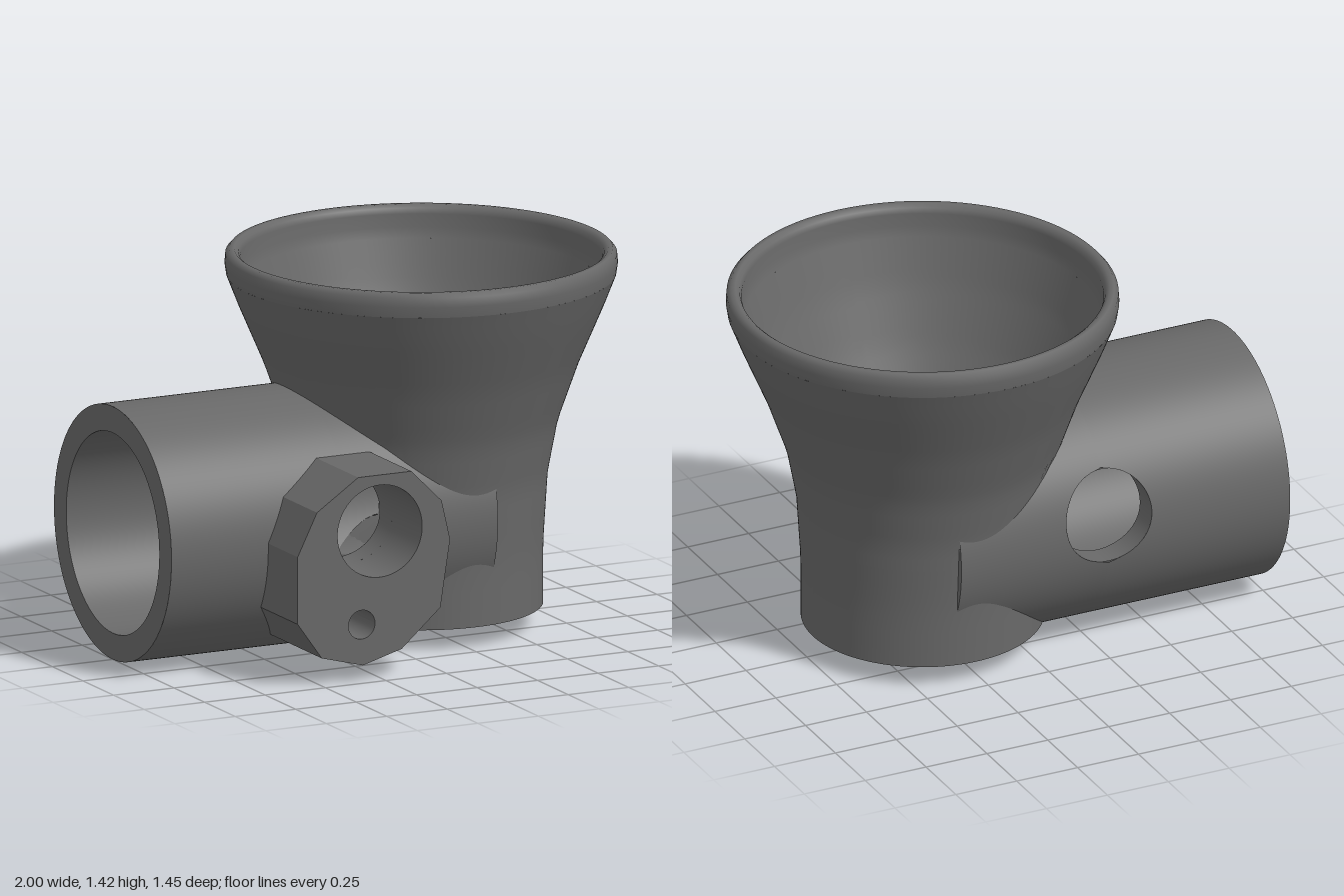
import * as THREE from 'three';

const AX = 0.275;            // funnel axis x
const TY = 0.48;             // tube axis height
const RO = 0.48, RI = 0.38;  // tube radii
const HX = -0.26, HY = 0.562, HR = 0.175; // cross hole

const OUTER = [[0.08, 0.45], [0.31, 0.45], [0.58, 0.467], [0.78, 0.505], [1.0, 0.583], [1.22, 0.677], [1.33, 0.72]];
const INNER = [[0.08, 0.35], [0.31, 0.35], [0.5, 0.363], [0.7, 0.41], [0.92, 0.515], [1.13, 0.6], [1.3, 0.655]];

// radius at height y along a profile
function radius(profile, y) {
  if (y <= profile[0][0]) return profile[0][1];
  for (let i = 1; i < profile.length; i++) {
    const [y0, r0] = profile[i - 1], [y1, r1] = profile[i];
    if (y <= y1) return r0 + (r1 - r0) * (y - y0) / (y1 - y0);
  }
  return profile[profile.length - 1][1];
}

// grid surface from fn(u, v) -> [x, y, z]
function surface(fn, nu, nv, flip = false) {
  const pos = [], idx = [];
  for (let i = 0; i <= nu; i++)
    for (let j = 0; j <= nv; j++) pos.push(...fn(i / nu, j / nv));
  for (let i = 0; i < nu; i++)
    for (let j = 0; j < nv; j++) {
      const a = i * (nv + 1) + j, b = a + 1, c = a + nv + 1, d = c + 1;
      idx.push(...(flip ? [a, b, c, b, d, c] : [a, c, b, b, c, d]));
    }
  const g = new THREE.BufferGeometry();
  g.setAttribute('position', new THREE.Float32BufferAttribute(pos, 3));
  g.setIndex(idx);
  g.computeVertexNormals();
  return g;
}

// where the tube wall stops against the funnel bore
function tubeEnd(y, z) {
  const r = radius(INNER, y);
  return Math.abs(z) < r ? AX - Math.sqrt(r * r - z * z) : 0.35;
}

export function createModel() {
  const model = new THREE.Group();
  const grey = new THREE.MeshStandardMaterial({ color: 0x686868, side: THREE.DoubleSide });
  grey.name = 'dark grey';
  const add = (parent, name, geo) => {
    const m = new THREE.Mesh(geo, grey);
    m.name = name;
    parent.add(m);
    return m;
  };
  const group = (name) => {
    const g = new THREE.Group();
    g.name = name;
    model.add(g);
    return g;
  };

  // horizontal tube, each wall split around the cross hole
  const tube = group('tube');
  const tubePoint = (r, u) => {
    const a = u * Math.PI * 2;
    return [TY + r * Math.cos(a), r * Math.sin(a)];
  };
  for (const [r, label, flip] of [[RO, 'tubeOuter', false], [RI, 'tubeInner', true]]) {
    const span = (u) => {
      const [y, z] = tubePoint(r, u);
      const w = Math.sqrt(Math.max(0, HR * HR - (y - HY) ** 2));
      const end = tubeEnd(y, z);
      return { y, z, end, h0: Math.min(HX - w, end), h1: Math.min(HX + w, end) };
    };
    add(tube, label + 'Far', surface((u, v) => {
      const s = span(u);
      return [-1 + (s.h0 + 1) * v, s.y, s.z];
    }, 240, 2, !flip));
    add(tube, label + 'Near', surface((u, v) => {
      const s = span(u);
      return [s.h1 + (s.end - s.h1) * v, s.y, s.z];
    }, 240, 2, !flip));
  }
  add(tube, 'tubeInnerEdge', surface((u, v) => {
    const [y, z] = tubePoint(RO + (RI - RO) * v, u);
    const [yo, zo] = tubePoint(RO, u), [yi, zi] = tubePoint(RI, u);
    const x0 = tubeEnd(yo, zo), x1 = tubeEnd(yi, zi);
    return [x0 + (x1 - x0) * v, y, z];
  }, 240, 1, true));
  const rim = add(tube, 'tubeRim', new THREE.RingGeometry(RI, RO, 96));
  rim.rotation.y = -Math.PI / 2;
  rim.position.set(-1, TY, 0);
  for (const side of [1, -1]) {
    add(tube, 'crossHoleWall', surface((u, v) => {
      const a = u * Math.PI * 2;
      const y = HY + HR * Math.sin(a);
      const r = RI + (RO - RI) * v;
      return [HX + HR * Math.cos(a), y, side * Math.sqrt(r * r - (y - TY) ** 2)];
    }, 64, 1, side < 0));
  }

  // funnel walls, opened where the tube bore enters
  const funnel = group('funnel');
  for (const [profile, top, label, flip] of [[OUTER, 1.33, 'funnelOuter', false], [INNER, 1.3, 'funnelInner', true]]) {
    const edge = (a, step) => {
      const inside = (y) => Math.cos(a) < 0
        && Math.hypot(y - TY, radius(profile, y) * Math.sin(a)) < RI;
      let y = TY;
      while (inside(y)) y += step;
      return y;
    };
    const wall = (from, to) => (u, v) => {
      const a = u * Math.PI * 2;
      const y0 = from(a), y = y0 + (to(a) - y0) * v;
      const r = radius(profile, y);
      return [AX + r * Math.cos(a), y, r * Math.sin(a)];
    };
    add(funnel, label + 'Lower', surface(wall(() => 0.08, (a) => edge(a, -0.003)), 160, 6, !flip));
    add(funnel, label + 'Upper', surface(wall((a) => edge(a, 0.003), () => top), 160, 18, !flip));
  }
  const lip = [[0.72, 1.33], [0.726, 1.37], [0.723, 1.405], [0.708, 1.422], [0.69, 1.422],
    [0.675, 1.41], [0.668, 1.39], [0.668, 1.34], [0.655, 1.3]];
  add(funnel, 'funnelLip', new THREE.LatheGeometry(lip.map((p) => new THREE.Vector2(...p)), 96)).position.x = AX;
  const base = add(funnel, 'funnelBase', new THREE.RingGeometry(0.35, 0.45, 96));
  base.rotation.x = Math.PI / 2;
  base.position.set(AX, 0.08, 0);

  // tongue left across the bottom of the bore
  add(model, 'floorTongue', new THREE.BoxGeometry(0.43, 0.035, 0.49)).position.set(0.135, 0.105, 0);

  // faceted boss on the front of the tube
  const boss = group('boss');
  const outline = [[-0.35, 0.775], [-0.13, 0.775], [-0.005, 0.65], [0.03, 0.5], [-0.01, 0.245], [-0.17, 0.105],
    [-0.33, 0.06], [-0.5, 0.105], [-0.6, 0.245], [-0.6, 0.5], [-0.52, 0.66]].map((p) => new THREE.Vector2(...p));
  const circle = (x, y, r, n) => Array.from({ length: n }, (_, i) => {
    const a = i / n * Math.PI * 2;
    return new THREE.Vector2(x + r * Math.cos(a), y + r * Math.sin(a));
  });
  const holes = [circle(HX, HY, HR, 64), circle(-0.335, 0.215, 0.055, 32)];
  const face = new THREE.Shape(outline);
  holes.forEach((h) => face.holes.push(new THREE.Path(h)));
  add(boss, 'bossFace', new THREE.ShapeGeometry(face)).position.z = 0.72;
  const sides = (pts, flip) => surface((u, v) => {
    const p = pts[Math.round(u * pts.length) % pts.length];
    const back = Math.sqrt(0.47 ** 2 - (p.y - TY) ** 2);
    return [p.x, p.y, 0.72 + (back - 0.72) * v];
  }, pts.length, 1, flip);
  const flat = sides(outline, true).toNonIndexed();
  flat.computeVertexNormals();
  add(boss, 'bossSides', flat);
  holes.forEach((h, i) => add(boss, i ? 'smallHoleWall' : 'bossHoleWall', sides(h, true)));

  return model;
}
